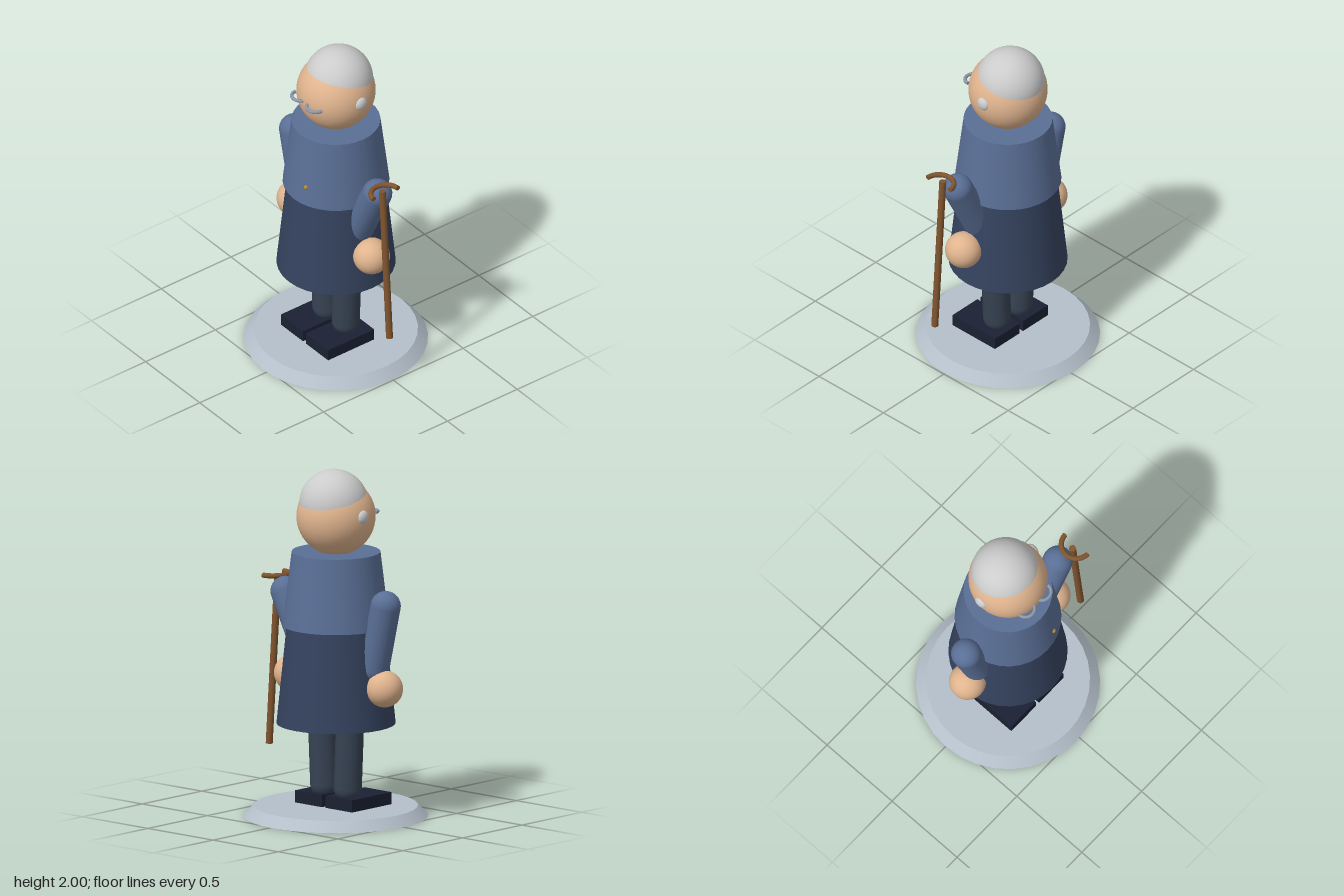
import * as THREE from 'three';

const mat = (color) => new THREE.MeshStandardMaterial({ color });
const M = {
  skin: mat(0xe0b48e), hair: mat(0xd8d8da), jacket: mat(0x5a6f96), coat: mat(0x35435f),
  trousers: mat(0x364252), shoe: mat(0x1b2133), stand: mat(0xb4bfca), wood: mat(0x80552f),
  wire: mat(0x8b98aa), brass: mat(0xb08a35),
};
const CX = -0.03; // body axis

export function createModel() {
  const model = new THREE.Group();
  model.name = 'standingFigure';

  const add = (name, geometry, material, x, y, z) => {
    const mesh = new THREE.Mesh(geometry, material);
    mesh.name = name;
    mesh.position.set(x, y, z);
    model.add(mesh);
    return mesh;
  };
  // Upright truncated cone between two heights
  const cone = (name, rTop, rBottom, y0, y1, material) =>
    add(name, new THREE.CylinderGeometry(rTop, rBottom, y1 - y0, 32), material, CX, (y0 + y1) / 2, 0);
  const ball = (name, r, material, x, y, z) =>
    add(name, new THREE.SphereGeometry(r, 40, 28), material, x, y, z);
  // Rod or capsule running from a to b
  const limb = (name, a, b, r, material, round = true) => {
    const from = new THREE.Vector3(...a), to = new THREE.Vector3(...b);
    const dir = to.clone().sub(from), length = dir.length();
    const geometry = round
      ? new THREE.CapsuleGeometry(r, length, 10, 24)
      : new THREE.CylinderGeometry(r, r, length, 16);
    const mid = from.add(to).multiplyScalar(0.5);
    const mesh = add(name, geometry, material, mid.x, mid.y, mid.z);
    mesh.quaternion.setFromUnitVectors(new THREE.Vector3(0, 1, 0), dir.normalize());
    return mesh;
  };
  // Half ring lying flat, bulging towards +z before any turn; ends closed by small discs
  const halfRing = (name, R, r, material, x, y, z, turn = 0) => {
    const ring = add(name, new THREE.TorusGeometry(R, r, 12, 24, Math.PI), material, x, y, z);
    ring.rotation.set(Math.PI / 2, 0, turn);
    for (const s of [-1, 1]) {
      const cap = new THREE.Mesh(new THREE.CircleGeometry(r, 12), material);
      cap.name = name + 'End';
      cap.position.x = s * R;
      cap.rotation.x = Math.PI / 2;
      ring.add(cap);
    }
    return ring;
  };

  // Stand and clothing
  cone('stand', 0.465, 0.522, 0, 0.06, M.stand);
  cone('coatSkirt', 0.28, 0.338, 0.535, 1.1, M.coat);
  cone('jacket', 0.252, 0.303, 1.1, 1.525, M.jacket);
  ball('button', 0.013, M.brass, 0.05, 1.215, 0.277);

  // Legs and shoes
  for (const s of [-1, 1]) {
    const side = s > 0 ? 'left' : 'right';
    limb(side + 'Leg', [CX + s * 0.09, 0.17, 0], [CX + s * 0.112, 0.65, 0], 0.08, M.trousers);
    add(side + 'Shoe', new THREE.BoxGeometry(0.205, 0.07, 0.33), M.shoe, CX + s * 0.116, 0.095, 0.061);
  }

  // Arms and hands
  limb('rightArm', [-0.31, 0.885, 0.015], [-0.397, 1.255, 0.015], 0.086, M.jacket);
  limb('leftArm', [0.2, 0.905, 0.015], [0.37, 1.24, 0.015], 0.086, M.jacket);
  ball('rightHand', 0.105, M.skin, -0.387, 0.775, 0.017);
  ball('leftHand', 0.105, M.skin, 0.32, 0.775, 0.017);

  // Head, with the hair as a smaller ball breaking through at the crown
  ball('head', 0.225, M.skin, CX, 1.73, 0);
  ball('hair', 0.197, M.hair, CX, 1.803, -0.018);
  for (const s of [-1, 1]) {
    const side = s > 0 ? 'left' : 'right';
    ball(side + 'Ear', 0.04, M.hair, CX + s * 0.215, 1.75, -0.01).scale.x = 0.6;
    halfRing(side + 'Eyeglass', 0.052, 0.01, M.wire, CX + s * 0.069, 1.737, 0.198);
  }

  // Walking stick with a curved grip open to the outside
  limb('caneShaft', [0.525, 0.335, 0.047], [0.459, 1.322, 0.047], 0.02, M.wood, false);
  halfRing('caneGrip', 0.086, 0.015, M.wood, 0.492, 1.322, 0.047, Math.PI / 2);

  return model;
}
